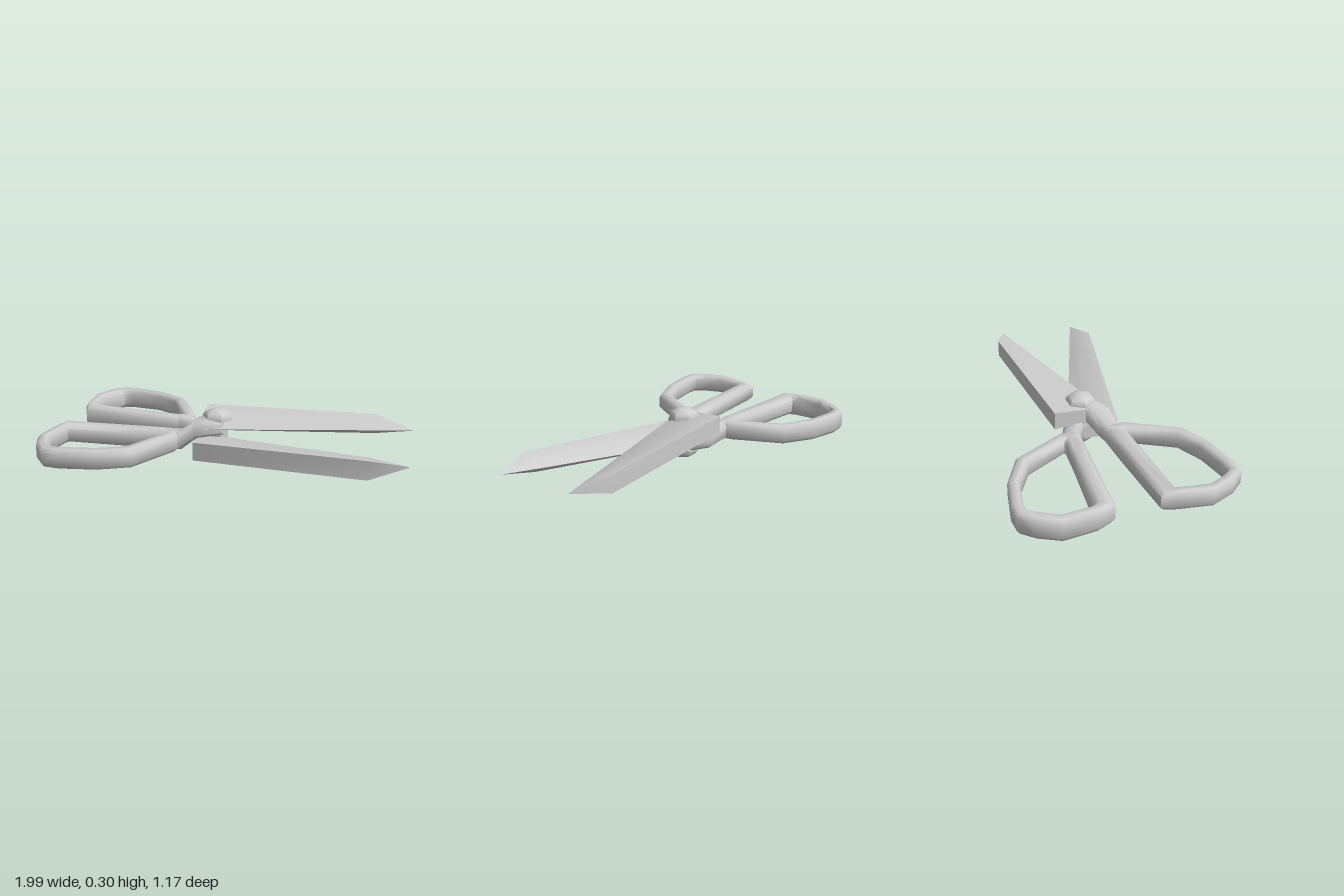
import * as THREE from 'three';
import { toCreasedNormals } from 'three/addons/utils/BufferGeometryUtils.js';

const material = new THREE.MeshStandardMaterial({ color: 0xcccccc });

// Skin a row of equal-sized rings; either closed into a loop or capped at both ends.
function loft(name, rings, closed, crease) {
  const n = rings[0].length, m = rings.length;
  const points = rings.flat().map((p) => new THREE.Vector3(...p));
  const index = [];
  for (let i = 0; i < (closed ? m : m - 1); i++) {
    for (let j = 0; j < n; j++) {
      const k = (j + 1) % n, a = i * n, b = ((i + 1) % m) * n;
      index.push(a + j, b + j, b + k, a + j, b + k, a + k);
    }
  }
  if (!closed) {
    const e = (m - 1) * n;
    for (let j = 1; j < n - 1; j++) index.push(0, j, j + 1, e, e + j + 1, e + j);
  }
  // Turn the faces outward if the enclosed volume comes out negative.
  let volume = 0;
  for (let i = 0; i < index.length; i += 3) {
    const [a, b, c] = [0, 1, 2].map((k) => points[index[i + k]]);
    volume += a.dot(new THREE.Vector3().crossVectors(b, c));
  }
  if (volume < 0) index.reverse();
  const geometry = new THREE.BufferGeometry().setFromPoints(points);
  geometry.setIndex(index);
  const mesh = new THREE.Mesh(toCreasedNormals(geometry, crease), material);
  mesh.name = name;
  return mesh;
}

// Rounded bar section between two plan points p and q, from y0 to y1.
const SECTION = [[0, 0.2], [0, 0.8], [0.25, 1], [0.75, 1], [1, 0.8], [1, 0.2], [0.75, 0], [0.25, 0]];
const barRing = (p, q, y0, y1) => SECTION.map(([u, v]) => [
  p[0] + (q[0] - p[0]) * u, y0 + (y1 - y0) * v, p[1] + (q[1] - p[1]) * u,
]);

// Finger loop: pairs of outer and inner plan points [x, z, x, z].
function fingerLoop(name, pairs, bottomAt, top) {
  return loft(name, pairs.map(([ox, oz, ix, iz]) =>
    barRing([ox, oz], [ix, iz], bottomAt(ox), top)), true, 1.0);
}

// Shank: sections [x, zMin, zMax, yMin, yMax].
function shank(name, sections) {
  return loft(name, sections.map(([x, z0, z1, y0, y1]) =>
    barRing([x, z0], [x, z1], y0, y1)), false, 1.0);
}

// Blade: thick spine, full belly and thin cutting edge; sections [x, zSpine, zEdge, yMin, yMax].
function blade(name, sections) {
  return loft(name, sections.map(([x, zs, ze, y0, y1]) => {
    const t = y1 - y0, belly = zs + (ze - zs) * 0.6;
    return [
      [x, y0, zs], [x, y1, zs], [x, y1 - t * 0.12, belly],
      [x, y0 + t * 0.5, ze], [x, y0 + t * 0.15, belly],
    ];
  }), false, 0.9);
}

export function createModel() {
  const model = new THREE.Group();
  model.name = 'scissors';

  // Upper half: blade, shank and front finger loop
  const upper = new THREE.Group();
  upper.name = 'upperHalf';
  upper.add(
    blade('upperBlade', [
      [-0.17, -0.16, 0.145, 0.16, 0.26],
      [0.79, -0.2, -0.066, 0.16, 0.26],
      [0.99, -0.112, -0.108, 0.208, 0.212],
    ]),
    shank('upperShank', [
      [-0.34, 0.085, 0.19, 0.09, 0.195],
      [-0.25, 0.07, 0.18, 0.09, 0.195],
      [-0.17, 0.02, 0.15, 0.15, 0.255],
      [-0.03, -0.04, 0.1, 0.165, 0.255],
    ]),
    fingerLoop('frontFingerLoop', [
      [-0.27, 0.08, -0.34, 0.19], [-0.5, 0.085, -0.5, 0.192],
      [-0.94, 0.105, -0.9, 0.2], [-0.965, 0.18, -0.905, 0.215],
      [-1.0, 0.37, -0.93, 0.36], [-0.955, 0.49, -0.895, 0.45],
      [-0.89, 0.57, -0.86, 0.51], [-0.8, 0.582, -0.78, 0.505],
      [-0.59, 0.55, -0.62, 0.48], [-0.42, 0.475, -0.48, 0.42],
      [-0.26, 0.19, -0.34, 0.19],
    ], () => 0.088, 0.195),
  );

  // Lower half: blade, shank and back finger loop
  const lower = new THREE.Group();
  lower.name = 'lowerHalf';
  lower.add(
    blade('lowerBlade', [
      [-0.17, 0.205, -0.09, 0.05, 0.155],
      [0.79, 0.412, 0.278, 0.112, 0.217],
      [0.99, 0.357, 0.353, 0.178, 0.182],
    ]),
    shank('lowerShank', [
      [-0.34, -0.165, -0.065, 0.085, 0.195],
      [-0.25, -0.15, -0.045, 0.085, 0.19],
      [-0.17, -0.115, 0.0, 0.05, 0.16],
      [-0.03, -0.05, 0.08, 0.055, 0.15],
    ]),
    fingerLoop('backFingerLoop', [
      [-0.26, -0.055, -0.33, -0.16], [-0.5, -0.08, -0.5, -0.175],
      [-0.92, -0.12, -0.89, -0.22], [-0.96, -0.21, -0.9, -0.25],
      [-0.975, -0.4, -0.905, -0.39], [-0.915, -0.52, -0.86, -0.46],
      [-0.85, -0.585, -0.825, -0.52], [-0.77, -0.59, -0.77, -0.525],
      [-0.58, -0.55, -0.6, -0.49], [-0.395, -0.45, -0.45, -0.4],
      [-0.25, -0.165, -0.33, -0.16],
    ], (x) => 0.09 + (x + 0.25) * 0.033, 0.193),
  );

  // Pivot bolt: hexagonal domed heads above and below a narrow pin
  const profile = [
    [0, 0], [0.035, 0.008], [0.07, 0.025], [0.083, 0.045], [0.083, 0.065], [0.06, 0.07],
    [0.06, 0.235], [0.083, 0.24], [0.083, 0.26], [0.07, 0.28], [0.035, 0.297], [0, 0.304],
  ].map(([r, y]) => new THREE.Vector2(r, y));
  const bolt = new THREE.Mesh(
    toCreasedNormals(new THREE.LatheGeometry(profile, 6, Math.PI / 6), 0.7), material);
  bolt.name = 'pivotBolt';
  bolt.position.set(-0.074, 0, 0.023);

  model.add(upper, lower, bolt);
  return model;
}
